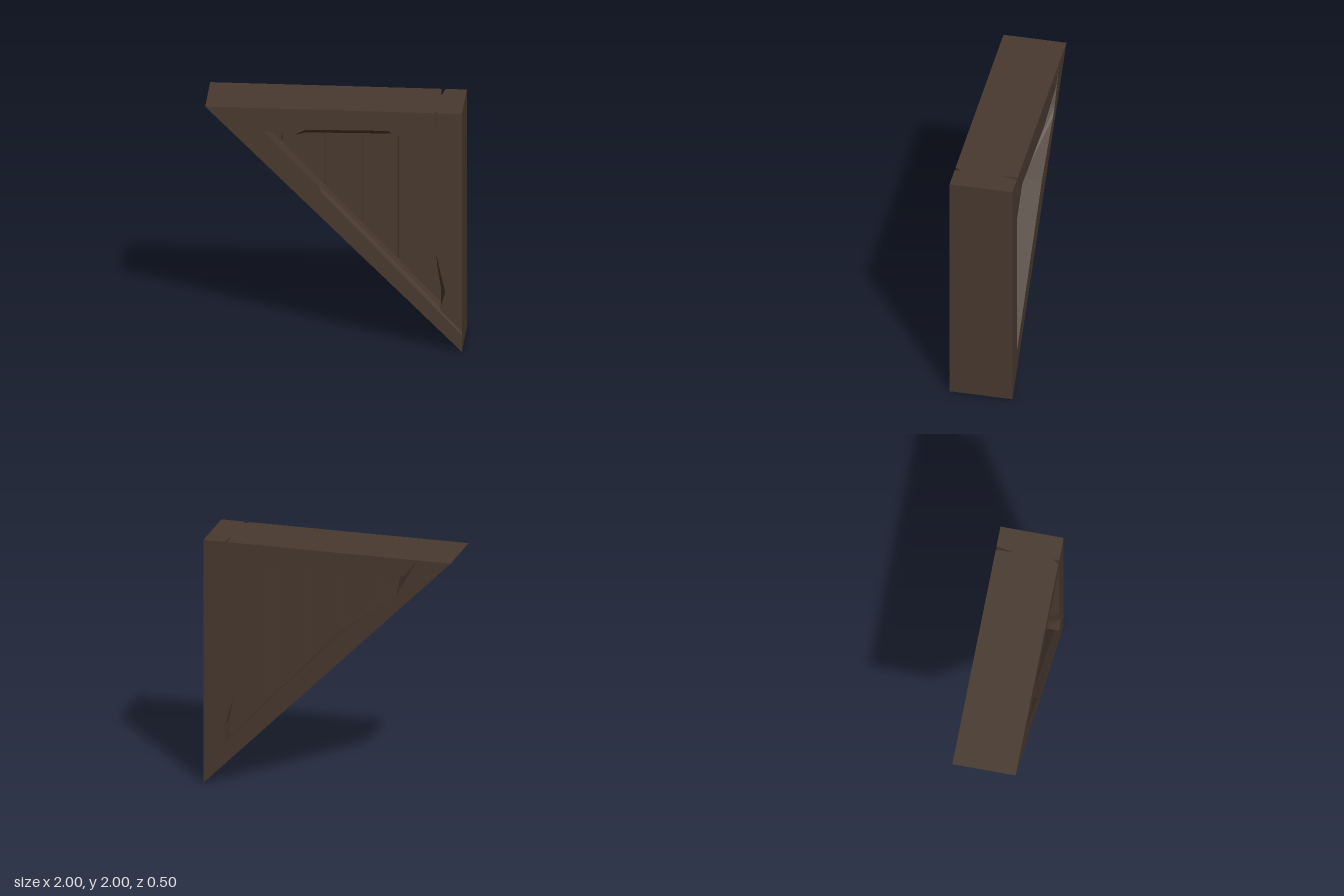
import * as THREE from 'three';

const wood = new THREE.MeshStandardMaterial({ color: 0x48392f });
wood.name = 'darkWood';

// Solid through matching counter-clockwise outlines, listed front to back as [z, points]
function loft(name, layers) {
  const pos = [];
  const tri = (...pts) => pts.forEach((p) => pos.push(...p));
  const rings = layers.map(([z, pts]) => pts.map(([x, y]) => [x, y, z]));
  const cap = (ring, flip) => {
    const flat = ring.map((p) => new THREE.Vector2(p[0], p[1]));
    for (const [a, b, c] of THREE.ShapeUtils.triangulateShape(flat, [])) {
      if (flip) tri(ring[c], ring[b], ring[a]);
      else tri(ring[a], ring[b], ring[c]);
    }
  };
  cap(rings[0], false);
  cap(rings[rings.length - 1], true);
  for (let k = 0; k < rings.length - 1; k++) {
    const f = rings[k], b = rings[k + 1], n = f.length;
    for (let i = 0; i < n; i++) {
      const j = (i + 1) % n;
      tri(f[i], b[i], b[j], f[i], b[j], f[j]);
    }
  }
  const geo = new THREE.BufferGeometry();
  geo.setAttribute('position', new THREE.Float32BufferAttribute(pos, 3));
  geo.computeVertexNormals();
  const mesh = new THREE.Mesh(geo, wood);
  mesh.name = name;
  return mesh;
}

export function createModel() {
  const model = new THREE.Group();
  model.name = 'triangularTimberWall';

  // Sloping beam: long front chamfer, chipped corner at the back
  const slope = (a, p, q, r) => [[-1, 2], [1, 0], [1, a], p, q, r, [-0.73, 2]];
  const slopeMid = slope(0.17, [-0.09, 1.324], [-0.12, 1.355], [-0.55, 1.81]);
  model.add(loft('slopingBeam', [
    [0.25, slope(0.14, [-0.09, 1.3], [-0.12, 1.355], [-0.55, 1.81])],
    [0.21, slopeMid],
    [-0.1, slopeMid],
    [-0.25, slope(0.17, [-0.09, 1.324], [-0.5, 1.64], [-0.56, 1.69])],
  ]));

  // Upright post: worn inner edge with a notch low on the front
  const post = (top, ...inner) => [[1, 0.17], [1, 2], [top, 2], [top, 1.84], ...inner];
  const postMid = post(0.81, [0.8, 0.82], [0.8, 0.68], [0.83, 0.49], [0.83, 0.35]);
  model.add(loft('uprightPost', [
    [0.25, post(0.81, [0.8, 0.82], [0.828, 0.68], [0.87, 0.5], [0.83, 0.35])],
    [0.15, postMid],
    [-0.1, postMid],
    [-0.25, post(0.835, [0.83, 0.82], [0.83, 0.68], [0.83, 0.49], [0.83, 0.35])],
  ]));

  // Top beam: chipped lower edge and bevelled end beside the post
  const top = (end, low, ...under) => [[-0.73, 2], ...under, [end, low], [end, 2]];
  const topMid = top(0.81, 1.84, [-0.55, 1.805], [-0.3, 1.785], [-0.22, 1.787], [0.43, 1.798], [0.47, 1.8]);
  model.add(loft('topBeam', [
    [0.25, top(0.775, 1.835, [-0.55, 1.805], [-0.3, 1.785], [-0.22, 1.83], [0.43, 1.84], [0.47, 1.8])],
    [0.2, topMid],
    [-0.1, topMid],
    [-0.25, top(0.805, 1.83, [-0.62, 1.86], [-0.4, 1.825], [-0.18, 1.79], [0.43, 1.81], [0.47, 1.81])],
  ]));

  // Infill planks with narrow grooves between them
  const planks = new THREE.Group();
  planks.name = 'planks';
  const seams = [-0.7, -0.413, -0.077, 0.215, 0.49, 0.86];
  for (let i = 0; i < seams.length - 1; i++) {
    const outline = (inset) => {
      const l = seams[i] + inset, r = seams[i + 1] - inset;
      return [[l, 1.1 - l], [r, 1.1 - r], [r, 1.9], [l, 1.9]];
    };
    planks.add(loft('plank', [
      [0.1, outline(0.004)], [0.085, outline(0)], [-0.085, outline(0)], [-0.1, outline(0.004)],
    ]));
  }
  model.add(planks);
  return model;
}
